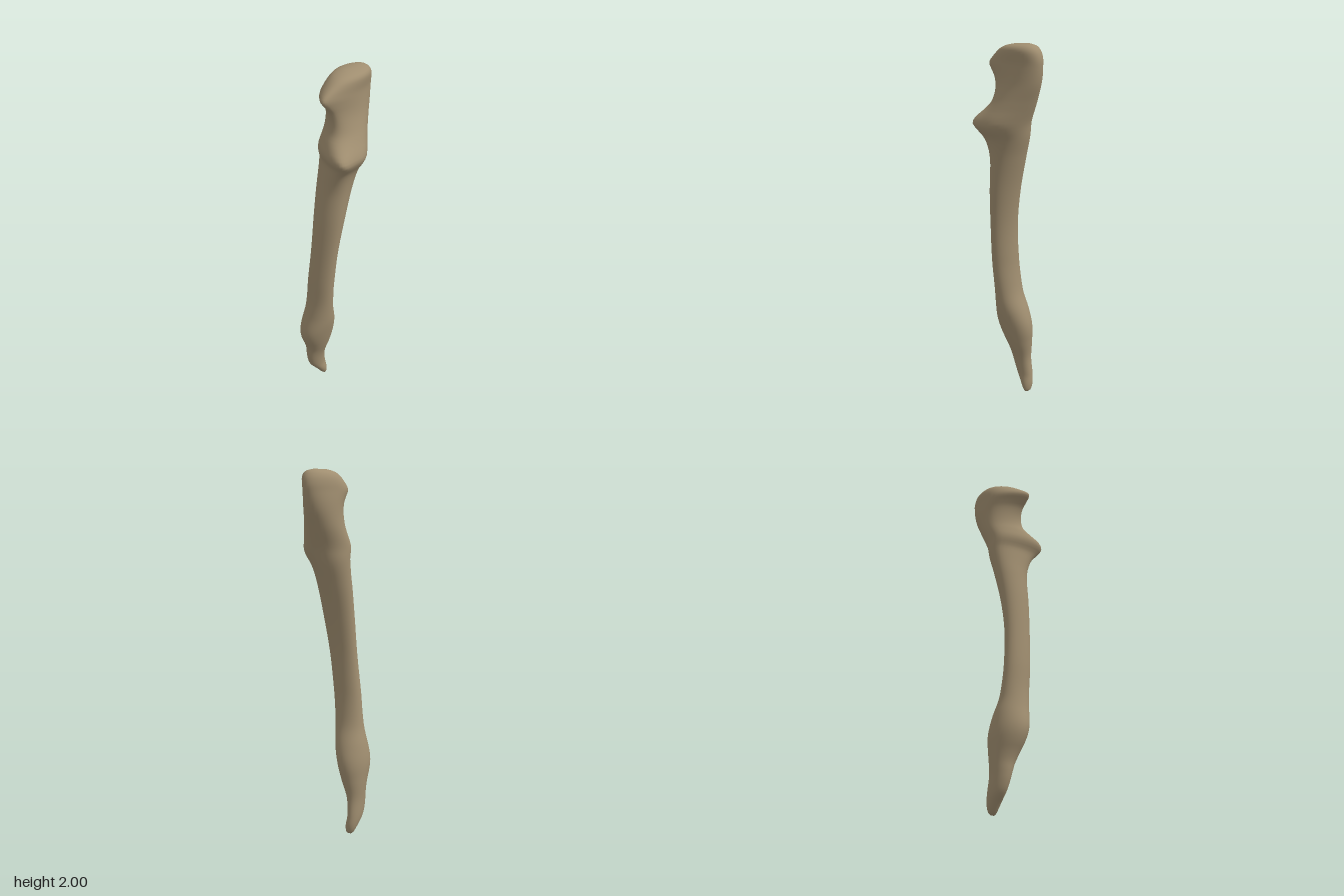
import * as THREE from 'three';

// Smooth interpolation through [y, value] pairs
function profile(pts) {
  const slope = (i) => {
    const a = pts[Math.max(i - 1, 0)], b = pts[Math.min(i + 1, pts.length - 1)];
    return (b[1] - a[1]) / (b[0] - a[0]);
  };
  return (y) => {
    let i = 0;
    while (i < pts.length - 2 && y > pts[i + 1][0]) i++;
    const [y0, v0] = pts[i], [y1, v1] = pts[i + 1], h = y1 - y0;
    const t = (y - y0) / h, t2 = t * t, t3 = t2 * t;
    return v0 * (2 * t3 - 3 * t2 + 1) + v1 * (3 * t2 - 2 * t3)
      + h * (slope(i) * (t3 - 2 * t2 + t) + slope(i + 1) * (t3 - t2));
  };
}

// Outline of the bone at each height
const minX = profile([[0, -0.13], [0.01, -0.14], [0.04, -0.153], [0.1, -0.165], [0.2, -0.167], [0.3, -0.172],
  [0.4, -0.175], [0.5, -0.16], [0.6, -0.135], [0.8, -0.112], [1, -0.095], [1.2, -0.093], [1.4, -0.1],
  [1.58, -0.105], [1.75, -0.096], [1.9, -0.094], [1.95, -0.085], [1.98, -0.068], [1.993, -0.048], [2, -0.025]]);
const maxX = profile([[0, -0.1], [0.01, -0.094], [0.04, -0.089], [0.1, -0.09], [0.2, -0.072], [0.3, -0.035],
  [0.4, -0.003], [0.5, 0.022], [0.6, 0.035], [0.8, 0.057], [1, 0.075], [1.2, 0.095], [1.4, 0.11], [1.5, 0.13],
  [1.55, 0.163], [1.58, 0.176], [1.61, 0.165], [1.66, 0.138], [1.72, 0.112], [1.8, 0.09], [1.9, 0.084],
  [1.96, 0.086], [1.98, 0.078], [1.993, 0.06], [2, 0.03]]);
const minZ = profile([[0, 0.018], [0.01, 0.009], [0.05, 0.004], [0.1, 0.01], [0.2, 0.02], [0.3, 0.005], [0.37, -0.006],
  [0.43, -0.005], [0.5, 0.01], [0.6, 0.042], [0.7, 0.056], [0.8, 0.06], [1, 0.05], [1.2, 0.015], [1.4, -0.04],
  [1.5, -0.075], [1.6, -0.11], [1.7, -0.15], [1.8, -0.19], [1.9, -0.209], [1.95, -0.204], [1.98, -0.187],
  [1.993, -0.168], [2, -0.14]]);
const maxZ = profile([[0, 0.035], [0.01, 0.045], [0.05, 0.075], [0.1, 0.115], [0.15, 0.135], [0.2, 0.145],
  [0.25, 0.152], [0.3, 0.17], [0.35, 0.194], [0.4, 0.209], [0.45, 0.21], [0.55, 0.19], [0.65, 0.178], [0.8, 0.174],
  [1, 0.16], [1.2, 0.145], [1.4, 0.125], [1.5, 0.126], [1.54, 0.134], [1.58, 0.157], [1.61, 0.156], [1.65, 0.13],
  [1.7, 0.097], [1.76, 0.089], [1.82, 0.105], [1.86, 0.136], [1.89, 0.16], [1.91, 0.152], [1.95, 0.1],
  [1.98, 0.05], [1.993, 0.01], [2, -0.03]]);
// Sideways lean and narrowing of the front half of each section
const lean = profile([[0, 0], [0.4, 0.1], [0.8, 0], [1.35, 0.05], [1.58, 0.7], [1.7, 0.3], [1.88, 0.5], [2, 0.2]]);
const taper = profile([[0, 0], [1.4, 0], [1.6, 0.1], [1.75, 0.1], [1.88, 0.4], [1.95, 0.2], [2, 0]]);

function section(y, sides) {
  const pts = [];
  for (let j = 0; j < sides; j++) {
    const a = (j / sides) * Math.PI * 2, s = Math.sin(a), f = Math.max(0, s) ** 2;
    pts.push([Math.cos(a) * (1 - taper(y) * f) + lean(y) * f, s]);
  }
  const xs = pts.map((p) => p[0]), lo = Math.min(...xs), hi = Math.max(...xs);
  return pts.map(([x, s]) => [
    THREE.MathUtils.mapLinear(x, lo, hi, minX(y), maxX(y)), y,
    THREE.MathUtils.mapLinear(s, -1, 1, minZ(y), maxZ(y))]);
}

function boneGeometry(rings = 130, sides = 40) {
  const pos = [], index = [];
  for (let i = 0; i <= rings; i++) {
    const t = i / rings;
    const y = 2 * t * 0.5 + (1 - Math.cos(Math.PI * t)) * 0.5; // denser toward the ends
    pos.push(...section(Math.min(y, 2), sides).flat());
  }
  for (let i = 0; i < rings; i++) {
    for (let j = 0; j < sides; j++) {
      const a = i * sides + j, b = i * sides + (j + 1) % sides;
      index.push(a, a + sides, b, b, a + sides, b + sides);
    }
  }
  // End caps
  const mid = (y) => [(minX(y) + maxX(y)) / 2, y, (minZ(y) + maxZ(y)) / 2];
  const bottom = pos.length / 3, top = bottom + 1, last = rings * sides;
  pos.push(...mid(0), ...mid(2));
  for (let j = 0; j < sides; j++) {
    const k = (j + 1) % sides;
    index.push(bottom, j, k, top, last + k, last + j);
  }
  const g = new THREE.BufferGeometry();
  g.setAttribute('position', new THREE.Float32BufferAttribute(pos, 3));
  g.setIndex(index);
  g.computeVertexNormals();
  return g;
}

export function createModel() {
  const group = new THREE.Group();
  group.name = 'forearmBone';
  const bone = new THREE.MeshStandardMaterial({ color: 0xa08e70 });
  bone.name = 'bone tan';
  const mesh = new THREE.Mesh(boneGeometry(), bone);
  mesh.name = 'boneShaft';
  group.add(mesh);
  return group;
}
